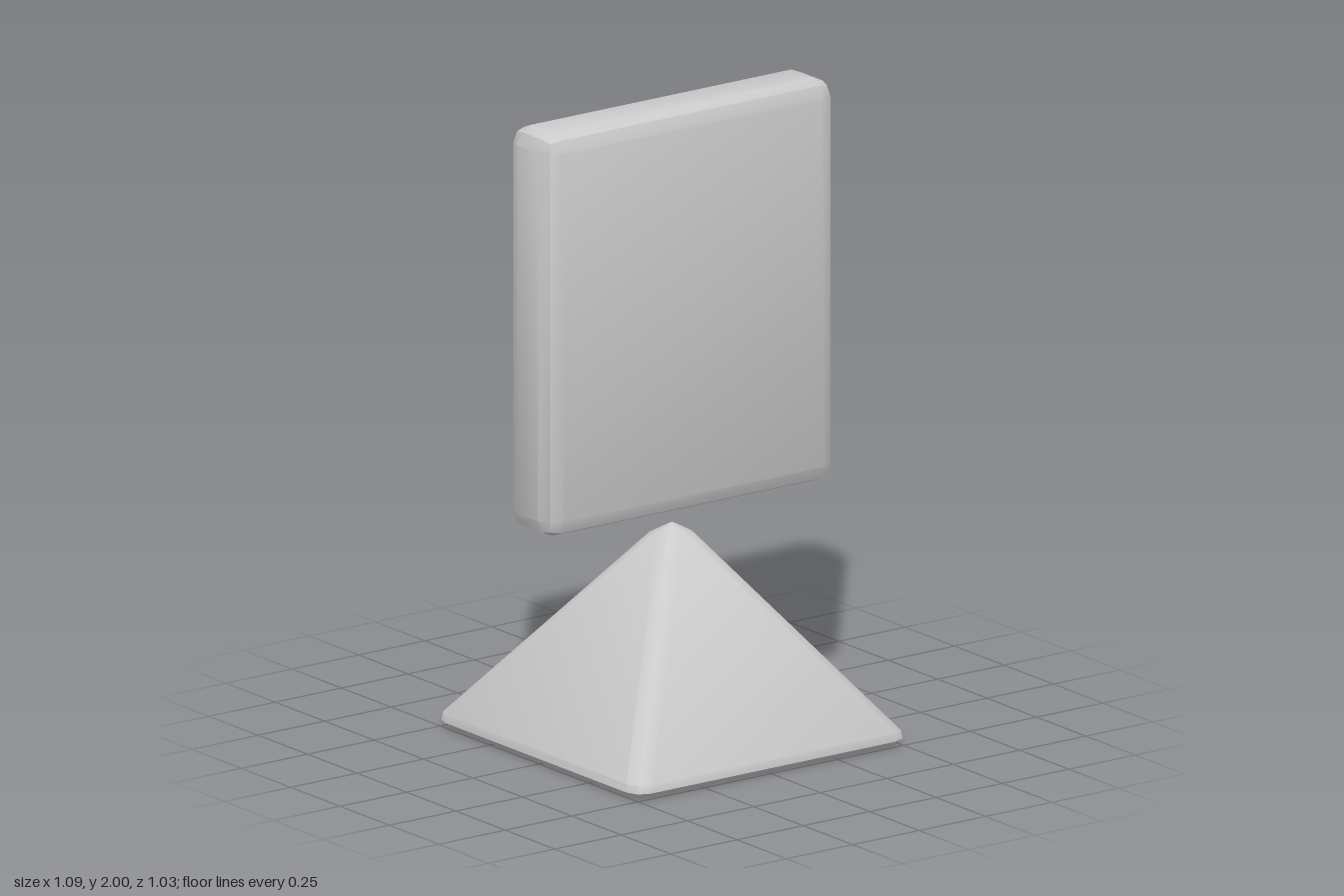
import * as THREE from 'three';
import { toCreasedNormals } from 'three/addons/utils/BufferGeometryUtils.js';
import { RoundedBoxGeometry } from 'three/addons/geometries/RoundedBoxGeometry.js';

const material = new THREE.MeshStandardMaterial({ color: 0xcccccc });

function part(name, geometry, creaseDegrees) {
  const mesh = new THREE.Mesh(
    toCreasedNormals(geometry, THREE.MathUtils.degToRad(creaseDegrees)), material);
  mesh.name = name;
  return mesh;
}

// One square ring with softened corners, half-width h, at height y
function ring(h, y, cut, inset) {
  const corner = [[h, h - cut], [h - inset, h - inset], [h - cut, h]];
  const points = [];
  for (let k = 0; k < 4; k++) {
    for (const p of corner) {
      let [x, z] = p;
      for (let j = 0; j < k; j++) [x, z] = [-z, x];
      points.push([x, y, z]);
    }
  }
  return points;
}

// Pyramid with rounded ridges, base edge and tip, lofted through rings
function pyramidGeometry() {
  const rings = [
    ring(0.485, 0, 0.032, 0.01),
    ring(0.513, 0.022, 0.052, 0.015),
    ring(0.51, 0.047, 0.055, 0.016),
    ring(0.065, 0.64, 0.055, 0.016),
  ];
  const n = rings[0].length;
  const positions = rings.flat(2);
  const bottom = rings.length * n;
  const tip = bottom + 1;
  positions.push(0, 0, 0, 0, 0.675, 0);

  const index = [];
  const last = (rings.length - 1) * n;
  for (let i = 0; i < n; i++) {
    const j = (i + 1) % n;
    for (let r = 0; r < last; r += n) {
      index.push(r + i, r + n + i, r + j, r + j, r + n + i, r + n + j);
    }
    index.push(bottom, i, j, last + i, tip, last + j);
  }
  const geometry = new THREE.BufferGeometry();
  geometry.setAttribute('position', new THREE.Float32BufferAttribute(positions, 3));
  geometry.setIndex(index);
  return geometry;
}

export function createModel() {
  const group = new THREE.Group();
  group.name = 'slabOverPyramid';

  group.add(part('pyramidBase', pyramidGeometry(), 42));

  // Upright slab with bevelled edges, floating above the tip
  const slabGeometry = new RoundedBoxGeometry(1.087, 1.27, 0.217, 1, 0.055);
  slabGeometry.clearGroups();
  const slab = part('uprightSlab', slabGeometry, 30);
  slab.position.y = 1.365;
  group.add(slab);

  return group;
}
